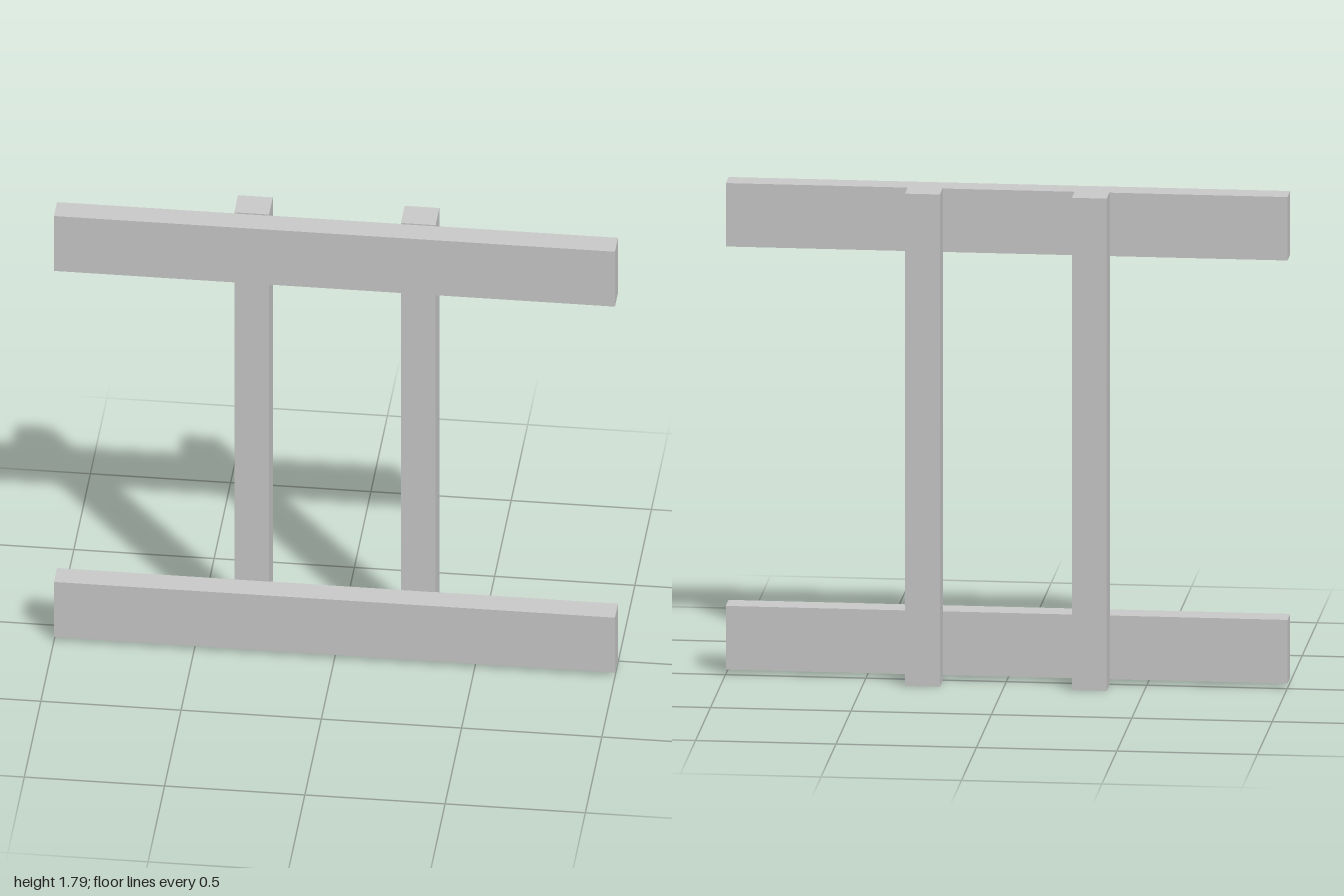
import * as THREE from 'three';

export function createModel() {
  const group = new THREE.Group();
  const material = new THREE.MeshStandardMaterial({ color: 0xcccccc, flatShading: true });

  // Squared timber given by its min and max corners
  function timber(name, [x0, y0, z0], [x1, y1, z1]) {
    const mesh = new THREE.Mesh(new THREE.BoxGeometry(x1 - x0, y1 - y0, z1 - z0), material);
    mesh.position.set((x0 + x1) / 2, (y0 + y1) / 2, (z0 + z1) / 2);
    mesh.name = name;
    group.add(mesh);
  }

  // Two horizontal rails across the front
  timber('lowerRail', [-1, 0.016, 0.01], [1, 0.248, 0.102]);
  timber('upperRail', [-1, 1.557, 0.01], [1, 1.788, 0.102]);

  // Two upright posts behind the rails, slightly off centre
  timber('rightPost', [-0.368, 0, -0.102], [-0.244, 1.793, 0.011]);
  timber('leftPost', [0.226, 0, -0.102], [0.35, 1.793, 0.011]);

  return group;
}
